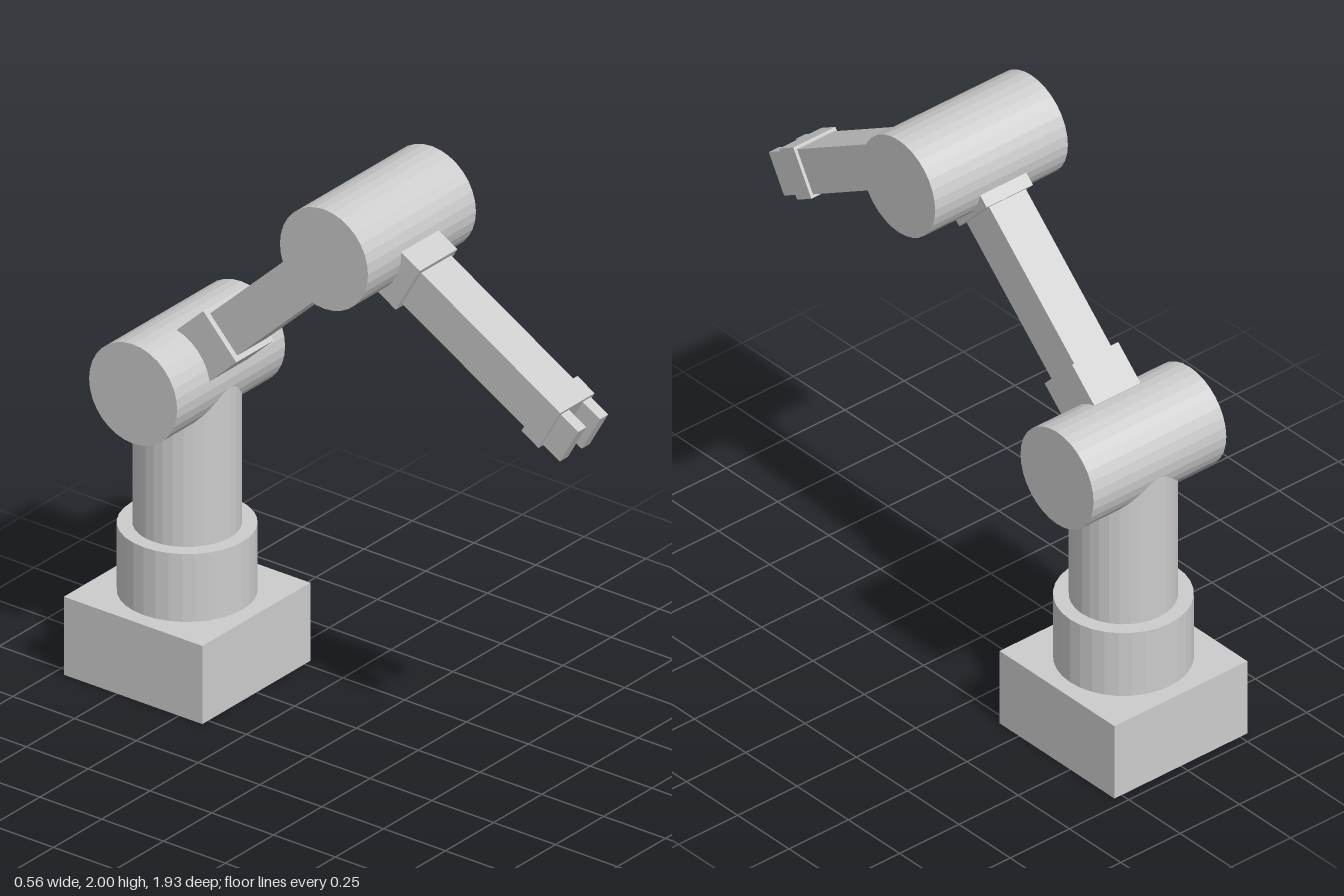
import * as THREE from 'three';

const material = new THREE.MeshStandardMaterial({ color: 0xcccccc, flatShading: true });
const SHOULDER = new THREE.Vector3(0, 1.095, -0.685);
const ELBOW = new THREE.Vector3(0, 1.823, 0.087);
const ARM_X = -0.01; // the arm sits slightly off the centre line

function add(parent, name, geometry, x, y, z) {
  const mesh = new THREE.Mesh(geometry, material);
  mesh.name = name;
  mesh.position.set(x, y, z);
  parent.add(mesh);
  return mesh;
}

// Square bar running along local z from z0 to z1
function bar(parent, name, w, h, z0, z1, x = ARM_X) {
  return add(parent, name, new THREE.BoxGeometry(w, h, z1 - z0), x, 0, (z0 + z1) / 2);
}

// Upright cylinder from y0 to y1 on the pedestal axis
function column(parent, name, r, y0, y1) {
  add(parent, name, new THREE.CylinderGeometry(r, r, y1 - y0, 32), 0, (y0 + y1) / 2, SHOULDER.z);
}

// Horizontal joint drum across x
function drum(parent, name, p) {
  const geometry = new THREE.CylinderGeometry(0.178, 0.178, 0.56, 32).rotateZ(Math.PI / 2);
  add(parent, name, geometry, p.x, p.y, p.z);
}

// Limb whose local z points along the arm
function limb(parent, name, origin, tilt) {
  const group = new THREE.Group();
  group.name = name;
  group.position.copy(origin);
  group.rotation.x = tilt;
  parent.add(group);
  return group;
}

export function createModel() {
  const model = new THREE.Group();
  model.name = 'robotArm';

  // Pedestal
  add(model, 'base', new THREE.BoxGeometry(0.56, 0.28, 0.56), 0, 0.14, SHOULDER.z);
  column(model, 'turntable', 0.225, 0.28, 0.523);
  column(model, 'post', 0.175, 0.523, 1.08);

  // Joints
  drum(model, 'shoulderJoint', SHOULDER);
  drum(model, 'elbowJoint', ELBOW);

  // Upper arm between the two joints
  const span = ELBOW.clone().sub(SHOULDER);
  const reach = span.length();
  const upper = limb(model, 'upperArm', SHOULDER, -Math.atan2(span.y, span.z));
  bar(upper, 'upperArmBar', 0.155, 0.16, 0.08, reach - 0.08);
  bar(upper, 'shoulderCollar', 0.195, 0.195, 0.1, 0.297);
  bar(upper, 'elbowCollar', 0.195, 0.195, reach - 0.193, reach - 0.08);

  // Forearm sloping down to the front
  const fore = limb(model, 'forearm', ELBOW, Math.PI / 6);
  bar(fore, 'forearmBar', 0.155, 0.155, 0.08, 0.85);
  bar(fore, 'forearmCollar', 0.195, 0.195, 0.1, 0.236);
  bar(fore, 'wrist', 0.178, 0.176, 0.81, 0.89);

  // Gripper fingers
  for (const side of [-1, 1]) {
    bar(fore, side > 0 ? 'leftFinger' : 'rightFinger', 0.042, 0.15, 0.88, 0.971, ARM_X + side * 0.0565);
  }
  return model;
}
